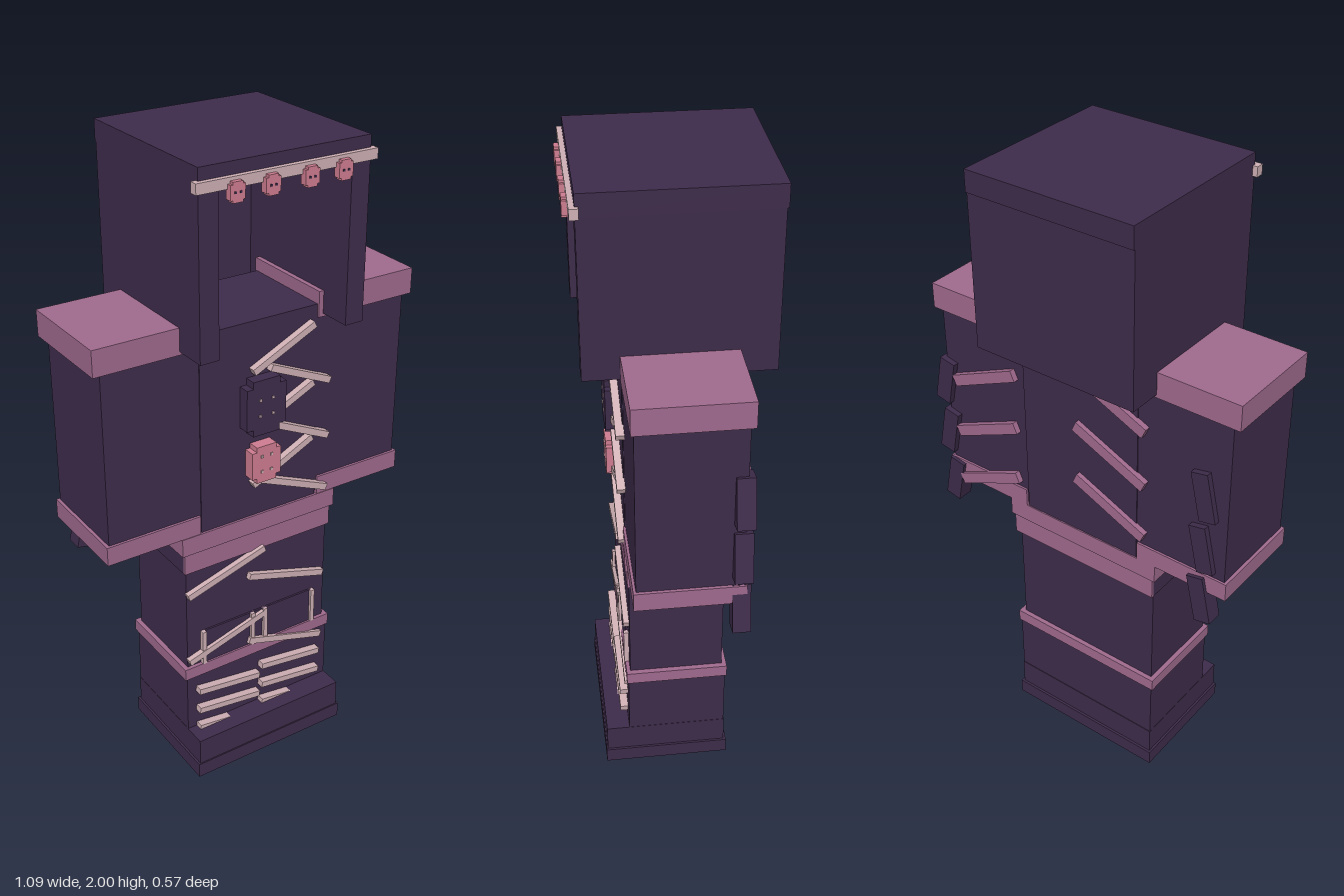
import * as THREE from 'three';

const mat = (name, color) => {
  const m = new THREE.MeshStandardMaterial({ color });
  m.name = name;
  return m;
};

export function createModel() {
  const dark = mat('dark plum cloth', 0x3e2c4b);
  const mauve = mat('mauve trim', 0xa06a8e);
  const bone = mat('pale cord', 0xcfb0b5);
  const rose = mat('rose bead', 0xcf7d91);
  const root = new THREE.Group();

  // box from its limits on each axis
  const box = (name, m, x0, x1, y0, y1, z0, z1, parent = root) => {
    const b = new THREE.Mesh(new THREE.BoxGeometry(x1 - x0, y1 - y0, z1 - z0), m);
    b.position.set((x0 + x1) / 2, (y0 + y1) / 2, (z0 + z1) / 2);
    b.name = name;
    parent.add(b);
    return b;
  };
  // slanted bar between two points in a plane facing z
  const bar = (name, m, [xa, ya, xb, yb], w, z0, z1) => {
    const len = Math.hypot(xb - xa, yb - ya);
    const b = new THREE.Mesh(new THREE.BoxGeometry(len, w, z1 - z0), m);
    b.position.set((xa + xb) / 2, (ya + yb) / 2, (z0 + z1) / 2);
    b.rotation.z = Math.atan2(yb - ya, xb - xa);
    b.name = name;
    root.add(b);
  };
  // plate with clipped corners
  const charm = (name, m, cx, cy, w, h, z0, depth) => {
    const c = Math.min(w, h) * 0.16, x = w / 2, y = h / 2;
    const s = new THREE.Shape([[-x + c, -y], [x - c, -y], [x - c, -y + c], [x, -y + c], [x, y - c],
      [x - c, y - c], [x - c, y], [-x + c, y], [-x + c, y - c], [-x, y - c], [-x, -y + c], [-x + c, -y + c]]
      .map(p => new THREE.Vector2(...p)));
    const b = new THREE.Mesh(new THREE.ExtrudeGeometry(s, { depth, bevelEnabled: false }), m);
    b.position.set(cx, cy, z0);
    b.name = name;
    root.add(b);
  };

  // hollow hood, open in front and below
  const hood = new THREE.Group();
  hood.name = 'hood';
  root.add(hood);
  box('hoodTop', dark, -0.275, 0.265, 1.935, 2, -0.285, 0.255, hood);
  box('hoodBack', dark, -0.275, 0.265, 1.465, 1.935, -0.28, -0.225, hood);
  box('hoodRightWall', dark, -0.275, -0.215, 1.465, 1.935, -0.225, 0.255, hood);
  box('hoodLeftWall', dark, 0.205, 0.265, 1.465, 1.935, -0.225, 0.255, hood);

  // brow cord with hanging beads
  box('browCord', bone, -0.29, 0.278, 1.935, 1.965, 0.245, 0.27);
  for (const x of [-0.175, -0.067, 0.055, 0.163]) {
    charm('browBead', rose, x, 1.928, 0.045, 0.055, 0.262, 0.022);
    for (const dx of [-0.008, 0.008]) box('beadDot', dark, x + dx - 0.003, x + dx + 0.003, 1.925, 1.931, 0.283, 0.286);
  }

  // torso and sleeves
  box('sleevesAndTorso', dark, -0.515, 0.505, 0.87, 1.46, -0.165, 0.14);
  box('chest', dark, -0.21, 0.2, 0.86, 1.495, -0.168, 0.143);
  box('rightShoulder', mauve, -0.54, -0.2, 1.455, 1.535, -0.175, 0.15);
  box('leftShoulder', mauve, 0.19, 0.53, 1.455, 1.535, -0.175, 0.15);
  box('rightCuff', mauve, -0.525, -0.215, 0.86, 0.92, -0.172, 0.148);
  box('leftCuff', mauve, 0.205, 0.515, 0.86, 0.92, -0.172, 0.148);

  // hips and belt
  box('belt', mauve, -0.28, 0.27, 0.8, 0.86, -0.172, 0.15);
  box('hips', dark, -0.27, 0.26, 0.73, 0.8, -0.16, 0.135);
  box('beltFront', mauve, -0.27, 0.26, 0.73, 0.8, 0.135, 0.143);
  box('beltBack', mauve, -0.27, 0.26, 0.73, 0.8, -0.168, -0.16);

  // legs, knee band and boots
  box('legs', dark, -0.265, 0.25, 0.37, 0.74, -0.153, 0.138);
  box('kneeBand', mauve, -0.28, 0.267, 0.34, 0.38, -0.168, 0.15);
  box('bootShafts', dark, -0.272, 0.262, 0.05, 0.345, -0.163, 0.145);
  box('bootFeet', dark, -0.273, 0.263, 0.05, 0.14, -0.165, 0.218);
  box('soles', dark, -0.28, 0.27, 0, 0.05, -0.173, 0.222);
  box('kneePatch', dark, -0.21, 0.2, 0.38, 0.5, 0.138, 0.144);
  for (const x of [-0.21, -0.03, 0.017, 0.2]) box('kneeCord', bone, x - 0.007, x + 0.007, 0.38, 0.5, 0.138, 0.153);

  // chest, leg and boot lacing
  for (const p of [[-0.04, 1.345, 0.17, 1.445], [0.02, 1.345, 0.23, 1.252], [-0.04, 1.16, 0.17, 1.26],
    [0.02, 1.165, 0.23, 1.067], [-0.04, 0.975, 0.17, 1.078], [-0.03, 0.995, 0.23, 0.885]])
    bar('chestLace', bone, p, 0.021, 0.138, 0.165);
  for (const y of [0.65, 0.405]) {
    bar('legLace', bone, [-0.265, y, 0.01, y + 0.082], 0.021, 0.136, 0.156);
    bar('legLace', bone, [-0.045, y - 0.005, 0.235, y - 0.09], 0.021, 0.136, 0.156);
  }
  for (const y of [0.29, 0.215, 0.145]) for (const x of [-0.24, -0.005])
    bar('bootLace', bone, [x, y, x + 0.225, y - 0.03], 0.02, 0.143, 0.17);

  // chest charms
  charm('upperCharm', dark, -0.008, 1.237, 0.135, 0.175, 0.14, 0.04);
  charm('lowerCharm', rose, -0.006, 1.05, 0.1, 0.12, 0.14, 0.04);
  for (const dx of [-0.022, 0.022]) for (const dy of [-0.025, 0.025]) {
    box('charmHole', bone, dx - 0.012, dx - 0.004, 1.233 + dy, 1.241 + dy, 0.178, 0.183);
    box('charmHole', bone, dx * 0.75 - 0.01, dx * 0.75 - 0.002, 1.048 + dy, 1.056 + dy, 0.178, 0.183);
  }

  // ribs on the back and spines behind the sleeves
  for (let i = 0; i < 3; i++) {
    const d = i * 0.185;
    bar('backRib', mauve, [0.465, 1.225 - d, 0.23, 1.33 - d], 0.036, -0.183, -0.16);
    bar('backRib', mauve, [0.005, 1.435 - d, -0.24, 1.325 - d], 0.036, -0.183, -0.16);
    const y = 1.205 - d, x = i < 2 ? 0.507 : 0.5;
    bar('leftSpine', dark, [x - 0.018, y + 0.08, x + 0.013, y - 0.07], 0.055, -0.183, -0.13);
    bar('rightSpine', dark, [-0.425, y + 0.07, -0.458, y - 0.085], 0.055, -0.183, -0.13);
  }
  return root;
}
